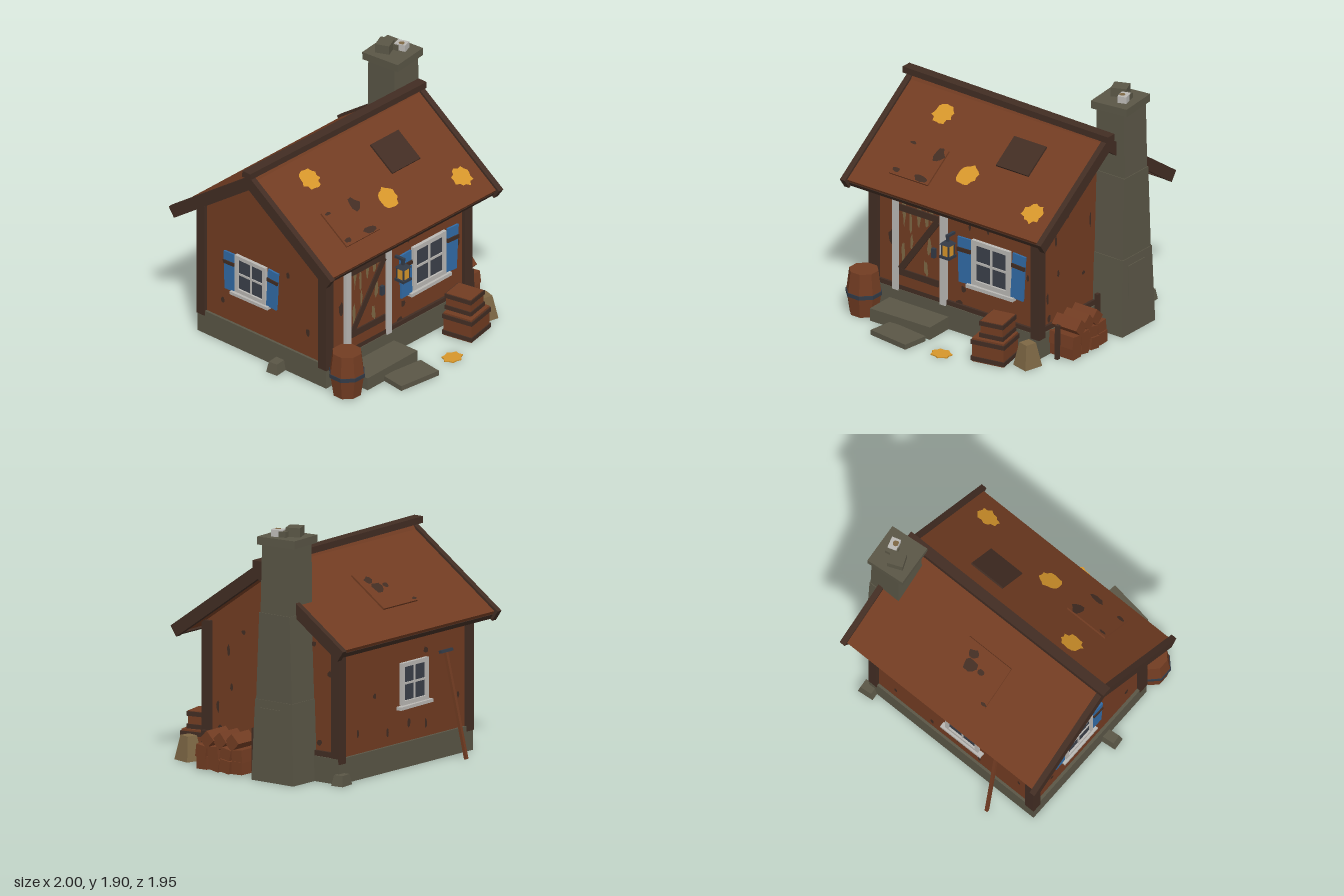
import * as THREE from 'three';

const mat = (name, color) => {
  const m = new THREE.MeshStandardMaterial({ color });
  m.name = name;
  return m;
};

export function createModel() {
  const root = new THREE.Group();
  root.name = 'cottage';
  const rust = mat('rust wood', 0x723c22), dark = mat('dark wood', 0x422d23), stone = mat('stone', 0x5a5646),
    white = mat('white paint', 0xbab8b4), blue = mat('blue paint', 0x316ba6), gold = mat('gold', 0xd6962b),
    tan = mat('tan', 0x7d6744), glass = mat('glass', 0x3b404a), metal = mat('dark metal', 0x323a46);

  let seed = 7;
  const rand = () => (seed = (seed * 16807) % 2147483647) / 2147483647;

  const add = (parent, name, geo, m, x = 0, y = 0, z = 0, rx = 0, ry = 0, rz = 0) => {
    const mesh = new THREE.Mesh(geo, m);
    mesh.name = name;
    mesh.position.set(x, y, z);
    mesh.rotation.set(rx, ry, rz);
    parent.add(mesh);
    return mesh;
  };
  const box = (parent, name, m, w, h, d, ...at) => add(parent, name, new THREE.BoxGeometry(w, h, d), m, ...at);
  const group = (parent, name, x = 0, y = 0, z = 0, ry = 0, rx = 0) => {
    const g = new THREE.Group();
    g.name = name;
    g.position.set(x, y, z);
    g.rotation.set(rx, ry, 0, 'YXZ');
    parent.add(g);
    return g;
  };
  // box between two rectangles [x0, x1, z0, z1] at heights y0 and y1
  const taper = (parent, name, m, y0, lo, y1, hi) => {
    const g = new THREE.BoxGeometry(1, 1, 1), p = g.attributes.position;
    for (let i = 0; i < p.count; i++) {
      const r = p.getY(i) > 0 ? hi : lo;
      p.setXYZ(i, p.getX(i) < 0 ? r[0] : r[1], p.getY(i) > 0 ? y1 : y0, p.getZ(i) < 0 ? r[2] : r[3]);
    }
    g.computeVertexNormals();
    return add(parent, name, g, m);
  };
  // irregular flat patch facing local +z
  const blob = (w, h, n = 9, rough = 0.4) => {
    const pts = [];
    for (let i = 0; i < n; i++) {
      const a = (i / n) * Math.PI * 2, r = 0.57 * (1 - rough * rand());
      pts.push(new THREE.Vector2(Math.cos(a) * w * r, Math.sin(a) * h * r));
    }
    return new THREE.ShapeGeometry(new THREE.Shape(pts));
  };

  // hollow foundation skirt under the floor
  const base = group(root, 'foundation');
  for (const z of [0.49, -0.775]) box(base, 'foundationWall', stone, 1.58, 0.19, 0.02, -0.045, 0.105, z);
  for (const x of [-0.825, 0.735]) box(base, 'foundationWall', stone, 0.02, 0.19, 1.245, x, 0.105, -0.1425);
  box(base, 'floor', stone, 1.55, 0.02, 1.255, -0.045, 0.185, -0.1425);

  const wall = new THREE.Shape([[-0.475, 0.19], [0.765, 0.19], [0.765, 1.08], [0.143, 1.51], [-0.475, 1.08]]
    .map(([a, b]) => new THREE.Vector2(a, b)));
  const wallGeo = new THREE.ExtrudeGeometry(wall, { depth: 1.525, bevelEnabled: false });
  add(root, 'walls', wallGeo.rotateY(Math.PI / 2), rust, -0.81);
  for (const x of [-0.8, 0.705])
    for (const z of [0.465, -0.75]) box(root, 'cornerPost', dark, 0.08, 0.92, 0.08, x, 0.62, z);
  box(root, 'frontSill', dark, 1.45, 0.045, 0.03, -0.045, 0.213, 0.48);
  box(root, 'rightSill', dark, 0.03, 0.05, 1.15, 0.72, 0.215, -0.143);

  // roof slopes: local z runs down from the ridge
  const slope = (name, ry, len) => {
    const g = group(root, name, 0, 1.61, -0.143, ry, 0.61), s = ry ? -1 : 1;
    box(g, 'roofSlab', rust, 1.79, 0.06, len - 0.025, -0.04 * s, -0.048, (len - 0.025) / 2);
    for (const x of [-0.952, 0.87]) box(g, 'bargeBoard', dark, 0.046, 0.093, len, x * s, -0.0465, len / 2);
    box(g, 'eaveBoard', dark, 1.78, 0.045, 0.03, -0.04 * s, -0.07, len - 0.036);
    return g;
  };
  const front = slope('frontRoof', 0, 1.0), back = slope('backRoof', Math.PI, 0.975);
  box(root, 'ridgeBeam', dark, 1.91, 0.05, 0.08, -0.045, 1.62, -0.145, 0, 0, -0.011);

  box(front, 'darkPatch', dark, 0.3, 0.024, 0.27, 0.3, -0.015, 0.357);
  box(front, 'rustPatch', rust, 0.36, 0.02, 0.315, -0.457, -0.014, 0.662);
  box(back, 'rustPatch', rust, 0.4, 0.02, 0.37, 0.095, -0.014, 0.498);
  const flat = -Math.PI / 2;
  for (const [x, z, w, h] of [[-0.33, 0.565, 0.1, 0.13], [-0.59, 0.53, 0.06, 0.03], [-0.59, 0.78, 0.07, 0.05], [-0.36, 0.785, 0.14, 0.06]])
    add(front, 'patchStain', blob(w, h), dark, x, -0.001, z, flat);
  for (const [x, z, w, h] of [[0.02, 0.48, 0.13, 0.11], [0, 0.4, 0.09, 0.08], [0.12, 0.48, 0.06, 0.05], [0.27, 0.66, 0.06, 0.03]])
    add(back, 'patchStain', blob(w, h), dark, x, -0.001, z, flat);
  for (const [x, z] of [[-0.51, 0.228], [-0.03, 0.63], [0.665, 0.762]])
    add(front, 'leafPatch', blob(0.18, 0.165, 18, 0.3), gold, x, -0.013, z, flat);
  add(root, 'groundLeaves', new THREE.ExtrudeGeometry(
    new THREE.Shape(Array.from({ length: 14 }, (_, i) => {
      const r = i % 2 ? 0.087 : 0.07, a = (i / 14) * Math.PI * 2;
      return new THREE.Vector2(Math.cos(a) * r, Math.sin(a) * r * 0.85);
    })), { depth: 0.01, bevelEnabled: false }), gold, 0.125, 0.012, 0.875, flat);

  // chimney
  const ch = group(root, 'chimney');
  taper(ch, 'chimneyBase', stone, 0.01, [0.66, 0.997, -0.558, -0.165], 0.62, [0.67, 0.984, -0.535, -0.19]);
  taper(ch, 'chimneyMiddle', stone, 0.62, [0.67, 0.978, -0.53, -0.195], 1.27, [0.69, 0.974, -0.505, -0.22]);
  taper(ch, 'chimneyShaft', stone, 1.27, [0.7, 0.968, -0.5, -0.228], 1.8, [0.705, 0.958, -0.497, -0.235]);
  box(ch, 'facingStone', stone, 0.02, 0.26, 0.2, 0.985, 0.43, -0.345, 0, 0, 0.02);
  box(ch, 'chimneyCap', stone, 0.31, 0.06, 0.325, 0.825, 1.81, -0.365, 0, 0.1, 0.015);
  box(ch, 'capStone', stone, 0.12, 0.075, 0.11, 0.79, 1.872, -0.41, 0, 0.4);
  box(ch, 'capStone', stone, 0.08, 0.05, 0.07, 0.87, 1.86, -0.37, 0, 0.2);
  box(ch, 'paleCapStone', white, 0.07, 0.055, 0.09, 0.885, 1.866, -0.33, 0, 0.3);
  add(ch, 'capMoss', blob(0.05, 0.05), tan, 0.878, 1.896, -0.32, flat);

  // door
  const door = group(root, 'door', -0.376, 0, 0.478);
  box(door, 'doorPanel', rust, 0.39, 0.84, 0.02, 0, 0.61, 0.005);
  for (const x of [-0.218, 0.222]) box(door, 'doorFrame', white, 0.056, 0.87, 0.05, x, 0.625, 0.002);
  for (const y of [0.348, 0.87]) box(door, 'doorBar', dark, 0.36, 0.052, 0.014, 0, y, 0.02);
  box(door, 'doorBrace', dark, 0.59, 0.05, 0.012, 0, 0.609, 0.02, 0, 0, 0.95);
  box(door, 'doorHandle', metal, 0.03, 0.075, 0.03, 0.142, 0.592, 0.025);
  for (const [x, y, w, h] of [[-0.14, 0.86, 0.045, 0.28], [-0.08, 0.77, 0.04, 0.18], [0, 0.87, 0.05, 0.26], [0.07, 0.83, 0.04, 0.16],
    [0.11, 0.9, 0.04, 0.18], [-0.15, 0.5, 0.035, 0.2], [0.06, 0.44, 0.05, 0.14], [0.09, 0.62, 0.04, 0.14], [-0.07, 0.62, 0.03, 0.14]])
    add(door, 'peeledPaint', blob(w, h, 11, 0.45), tan, x, y, 0.0165);

  // windows, facing local +z
  const windowAt = (name, x, y, z, ry, size, shutters) => {
    const g = group(root, name, x, y, z, ry);
    g.scale.set(size, size, 0.62);
    box(g, 'pane', glass, 0.3, 0.31, 0.02, 0, 0, 0.005);
    for (const s of [-1, 1]) {
      box(g, 'frameSide', white, 0.035, 0.36, 0.05, s * 0.16, 0, 0.015);
      box(g, 'frameRail', white, 0.355, 0.035, 0.05, 0, s * 0.162, 0.015);
      if (!shutters) continue;
      const sh = group(g, 'shutter', s * 0.249, s * 0.005 - 0.01, 0.015);
      sh.rotation.z = s < 0 ? 0.03 : -0.06;
      box(sh, 'shutterBoard', blue, 0.117, 0.365, 0.025);
      box(sh, 'shutterBar', dark, 0.122, 0.032, 0.025, 0, 0.085, 0.014);
    }
    box(g, 'mullion', white, 0.018, 0.32, 0.03, 0, 0, 0.012);
    box(g, 'mullion', white, 0.3, 0.018, 0.03, 0, 0, 0.012);
    box(g, 'windowSill', white, 0.435, 0.028, 0.08, 0, -0.198, 0.025, 0, 0, 0.015);
  };
  windowAt('frontWindow', 0.29, 0.62, 0.478, 0, 1, true);
  windowAt('leftWindow', -0.812, 0.635, -0.26, -Math.PI / 2, 0.86, true);
  windowAt('backWindow', -0.15, 0.64, -0.768, Math.PI, 0.88, false);

  // wall stains: [across, height, w, h] in each wall's own frame
  const stains = (name, x, z, ry, list) => {
    const g = group(root, name, x, 0, z, ry);
    for (const [a, y, w, h] of list) add(g, 'stain', blob(w, h), dark, a, y, 0);
  };
  stains('frontStains', 0, 0.479, 0, [[0.25, 0.94, 0.04, 0.13], [-0.65, 0.6, 0.05, 0.12], [-0.02, 0.24, 0.07, 0.05],
    [0.57, 0.95, 0.04, 0.09], [0.08, 0.88, 0.03, 0.06], [0.62, 0.62, 0.03, 0.06], [0.02, 0.36, 0.05, 0.06]]);
  stains('rightStains', 0.719, 0, Math.PI / 2, [[-0.27, 0.88, 0.03, 0.1], [-0.13, 1.03, 0.04, 0.04], [-0.37, 0.44, 0.03, 0.09],
    [-0.24, 0.6, 0.03, 0.06], [0.14, 0.9, 0.02, 0.16], [0.14, 1.3, 0.02, 0.14], [0.06, 0.5, 0.04, 0.04],
    [0.53, 1.03, 0.05, 0.05], [0.68, 0.82, 0.04, 0.06], [0.58, 0.3, 0.05, 0.05], [-0.35, 0.28, 0.04, 0.06]]);
  stains('backStains', 0, -0.769, Math.PI, [[-0.5, 0.35, 0.03, 0.08], [-0.3, 0.6, 0.04, 0.05], [-0.15, 0.3, 0.03, 0.07],
    [0.1, 0.33, 0.04, 0.07], [0.3, 0.85, 0.06, 0.05], [0.3, 0.3, 0.03, 0.08], [0.68, 0.45, 0.03, 0.07]]);
  stains('leftStains', -0.814, 0, -Math.PI / 2, [[0.1, 0.8, 0.04, 0.06], [0.3, 0.4, 0.04, 0.07], [-0.55, 0.35, 0.04, 0.06]]);

  // lantern on its bracket
  const lamp = group(root, 'lantern', -0.063, 0, 0.557);
  box(lamp, 'bracket', metal, 0.022, 0.02, 0.09, 0, 0.8, -0.03);
  box(lamp, 'hanger', metal, 0.02, 0.06, 0.02, 0, 0.775, 0);
  taper(lamp, 'lanternCap', metal, 0.735, [-0.046, 0.046, -0.046, 0.046], 0.757, [-0.025, 0.025, -0.025, 0.025]);
  box(lamp, 'lanternGlow', gold, 0.064, 0.1, 0.064, 0, 0.69, 0);
  box(lamp, 'lanternBase', metal, 0.09, 0.02, 0.09, 0, 0.635, 0);
  for (const x of [-1, 1])
    for (const z of [-1, 1]) box(lamp, 'lanternBar', metal, 0.01, 0.11, 0.01, x * 0.032, 0.69, z * 0.032);

  // barrel
  const barrel = group(root, 'barrel', -0.772, 0.01, 0.65, 0.39);
  const flatGeo = (g) => { const f = g.toNonIndexed(); f.computeVertexNormals(); return f; };
  const profile = [[0, 0], [0.108, 0], [0.134, 0.17], [0.112, 0.35], [0, 0.35]].map(([a, b]) => new THREE.Vector2(a, b));
  add(barrel, 'barrelBody', flatGeo(new THREE.LatheGeometry(profile, 8)), rust);
  add(barrel, 'barrelHoop', flatGeo(new THREE.CylinderGeometry(0.139, 0.139, 0.03, 8)), metal, 0, 0.17, 0);

  // steps and loose foundation stones
  box(root, 'doorStep', stone, 0.55, 0.1, 0.25, -0.373, 0.06, 0.61, 0, 0.02);
  box(root, 'flagstone', stone, 0.36, 0.04, 0.21, -0.297, 0.032, 0.85, 0, -0.13);
  for (const [x, z] of [[-0.88, 0.05], [0.73, -0.8]])
    taper(group(root, 'looseStone', x, 0, z, 0.1), 'stoneBlock', stone, 0.01, [-0.065, 0.065, -0.05, 0.05], 0.09, [-0.045, 0.05, -0.04, 0.035]);

  // stacked crates with dark bands
  const crate = (x, y, z, w, h, d, ry) => {
    const g = group(root, 'crate', x, y, z, ry);
    box(g, 'crateBody', rust, w, h, d, 0, h / 2, 0);
    for (const t of [0.14, 0.84]) box(g, 'crateBand', dark, w + 0.016, 0.034, d + 0.016, 0, h * t, 0);
  };
  crate(0.48, 0.015, 0.69, 0.26, 0.19, 0.24, 0.2);
  crate(0.487, 0.205, 0.665, 0.18, 0.135, 0.21, 0.2);

  // sack
  taper(group(root, 'sack', 0.737, 0, 0.63, -0.25), 'sackBody', tan, 0.01, [-0.073, 0.073, -0.078, 0.078],
    0.195, [-0.042, 0.042, -0.045, 0.045]);

  // log pile between two stakes
  const pile = group(root, 'logPile');
  [[0.065, 4, 0.33], [0.15, 4, 0.335], [0.245, 3, 0.28]].forEach(([y, n, z0], row) => {
    for (let i = 0; i < n; i++)
      box(pile, 'log', rust, 0.2 + 0.03 * rand(), 0.095, 0.095, 0.84 + 0.02 * rand(), y, z0 - i * 0.108,
        row === 2 ? 0.7 + 0.2 * rand() : 0.7 * (rand() - 0.5));
  });
  box(pile, 'stake', dark, 0.03, 0.27, 0.03, 0.84, 0.145, 0.407, -0.03);
  box(pile, 'stake', dark, 0.03, 0.35, 0.03, 0.84, 0.185, -0.07);

  // long-handled tool leaning on the back wall
  const tool = group(root, 'leaningTool', -0.515, 0.415, -0.88, 0, 0.2);
  box(tool, 'toolHandle', rust, 0.024, 0.82, 0.024, 0, 0, 0, 0, 0, -0.05);
  box(tool, 'toolHead', metal, 0.14, 0.022, 0.025, 0.015, 0.405, 0);
  return root;
}
